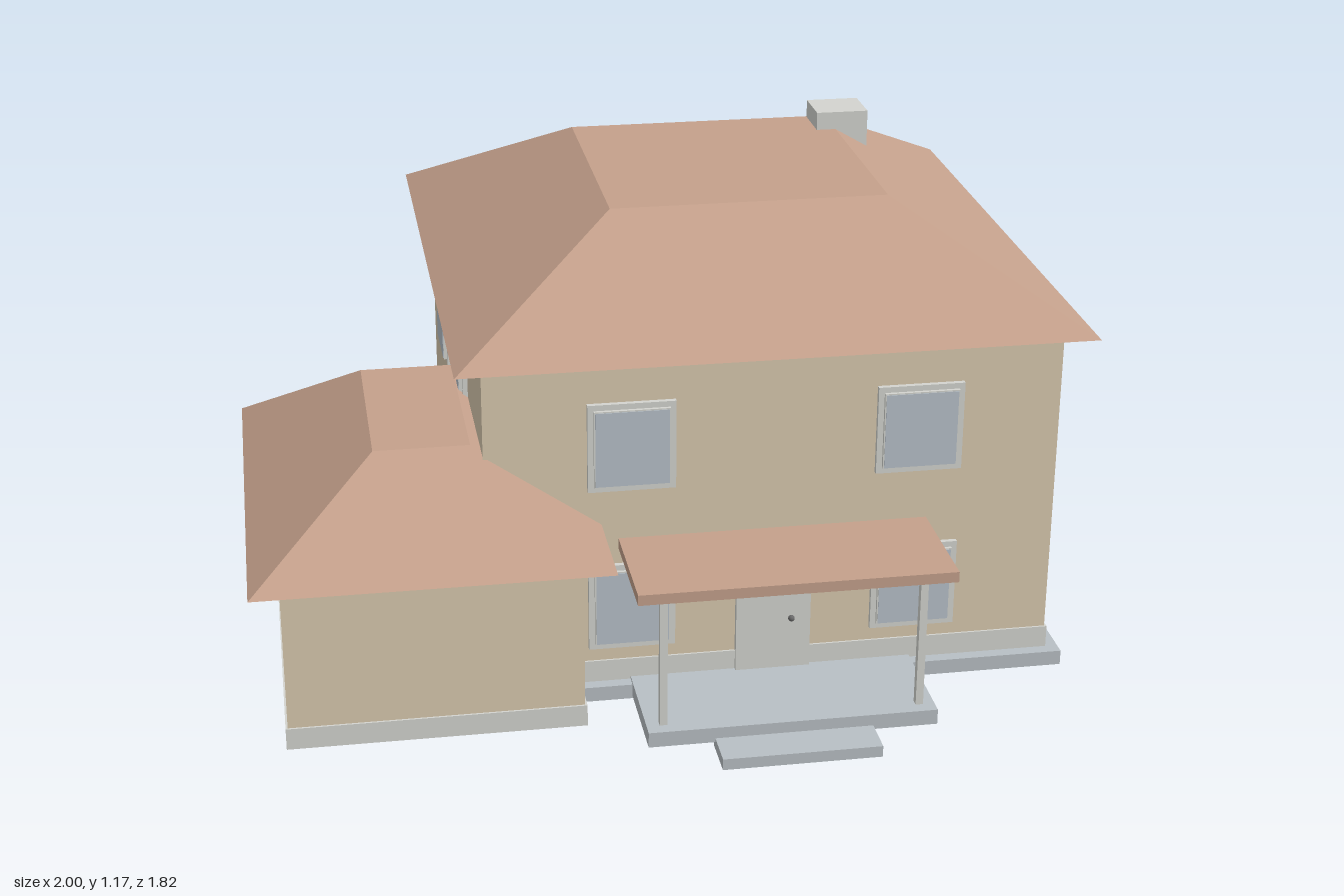
import * as THREE from 'three';

const mat = (name, color) => {
  const m = new THREE.MeshStandardMaterial({ color });
  m.name = name;
  return m;
};

export function createModel() {
  const house = new THREE.Group();
  house.name = 'house';
  const wall = mat('tan wall', 0xd8c8ae);
  const roof = mat('brown roof', 0xc4a08b);
  const trim = mat('pale trim', 0xd3d4cf);
  const glass = mat('window glass', 0xb7c0c8);
  const concrete = mat('grey concrete', 0xb8bfc4);
  const metal = mat('dark metal', 0x6a6a6a);

  const add = (name, geometry, material, parent = house) => {
    const mesh = new THREE.Mesh(geometry, material);
    mesh.name = name;
    parent.add(mesh);
    return mesh;
  };

  // Box given by its limits on each axis
  const box = (name, material, x0, x1, y0, y1, z0, z1, parent) => {
    const g = new THREE.BoxGeometry(x1 - x0, y1 - y0, z1 - z0);
    g.translate((x0 + x1) / 2, (y0 + y1) / 2, (z0 + z1) / 2);
    return add(name, g, material, parent);
  };

  // Hipped roof with a flat top: a box whose upper corners move inward
  const hipRoof = (name, x0, x1, y0, y1, z0, z1, inset) => {
    const mesh = box(name, roof, x0, x1, y0, y1, z0, z1);
    const p = mesh.geometry.attributes.position;
    const cx = (x0 + x1) / 2, cz = (z0 + z1) / 2;
    for (let i = 0; i < p.count; i++) {
      if (p.getY(i) < (y0 + y1) / 2) continue;
      p.setX(i, p.getX(i) - Math.sign(p.getX(i) - cx) * inset);
      p.setZ(i, p.getZ(i) - Math.sign(p.getZ(i) - cz) * inset);
    }
    mesh.geometry.computeVertexNormals();
  };

  // Main house
  box('foundationSlab', concrete, -0.485, 0.96, 0.013, 0.05, -0.875, 0.575);
  box('mainWalls', wall, -0.45, 0.925, 0.05, 0.885, -0.845, 0.54);
  box('mainPlinth', trim, -0.455, 0.93, 0.05, 0.105, -0.85, 0.545);
  hipRoof('mainRoof', -0.515, 0.995, 0.88, 1.122, -0.91, 0.6, 0.415);
  box('chimney', trim, 0.53, 0.665, 1.0, 1.168, -0.49, -0.368);

  // Side wing
  box('wingWalls', wall, -0.93, -0.245, 0.05, 0.47, -0.23, 0.745);
  box('wingPlinth', trim, -0.935, -0.24, 0.052, 0.105, -0.235, 0.75);
  hipRoof('wingRoof', -1, -0.175, 0.465, 0.675, -0.29, 0.805, 0.3);

  // Windows: casing, raised sash and a thin pane, facing +z before turning
  const addWindow = (x, y, z, turn) => {
    const w = new THREE.Group();
    w.name = 'window';
    box('casing', trim, -0.104, 0.104, -0.11, 0.11, -0.01, 0.012, w);
    box('sash', trim, -0.09, 0.09, -0.096, 0.096, -0.01, 0.02, w);
    box('pane', glass, -0.087, 0.087, -0.093, 0.093, 0.019, 0.022, w);
    w.position.set(x, y, z);
    w.rotation.y = turn;
    house.add(w);
  };
  for (const y of [0.251, 0.664]) {
    for (const x of [-0.104, 0.583]) {
      addWindow(x, y, 0.54, 0);
      addWindow(x, y, -0.845, Math.PI);
    }
    for (const z of [0.078, -0.382]) {
      addWindow(0.925, y, z, Math.PI / 2);
      // The wing covers the lower front window on this side
      if (y > 0.5 || z < 0) addWindow(-0.45, y, z, -Math.PI / 2);
    }
  }

  // Front door
  box('door', trim, 0.148, 0.33, 0.05, 0.357, 0.53, 0.555);
  const knob = add('doorKnob', new THREE.SphereGeometry(0.008, 12, 8), metal);
  knob.position.set(0.282, 0.19, 0.561);

  // Porch
  box('porchFloor', concrete, -0.107, 0.582, 0.018, 0.056, 0.53, 0.815);
  box('porchStep', concrete, 0.05, 0.427, 0, 0.028, 0.8, 0.91);
  box('porchRoof', roof, -0.135, 0.61, 0.4, 0.426, 0.53, 0.835);
  for (const x of [-0.067, 0.545]) {
    box('porchPost', trim, x - 0.009, x + 0.009, 0.055, 0.402, 0.766, 0.784);
  }

  return house;
}
